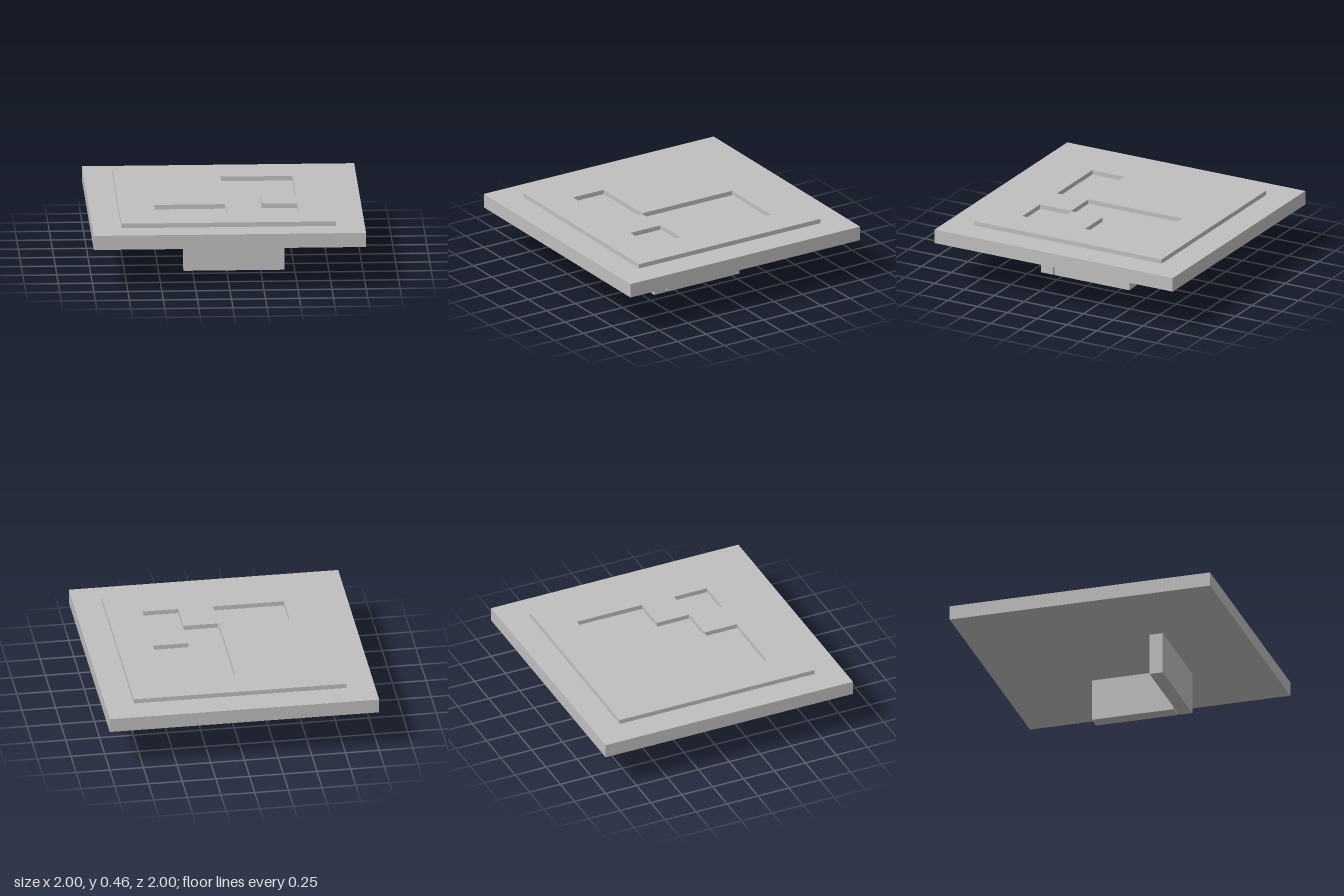
import * as THREE from 'three';

export function createModel() {
  const group = new THREE.Group();
  const grey = new THREE.MeshStandardMaterial({ color: 0xbfbfbf });
  grey.name = 'grey';

  // box given by its lower and upper corners
  const box = (name, [x0, y0, z0], [x1, y1, z1]) => {
    const mesh = new THREE.Mesh(new THREE.BoxGeometry(x1 - x0, y1 - y0, z1 - z0), grey);
    mesh.position.set((x0 + x1) / 2, (y0 + y1) / 2, (z0 + z1) / 2);
    mesh.name = name;
    group.add(mesh);
  };

  // square slab
  box('slab', [-1, 0.318, -1], [1, 0.425, 1]);

  // two walls below, meeting at a corner with a hairline gap
  box('frontWall', [-0.315, 0, 0.324], [0.425, 0.318, 0.425]);
  box('sideWall', [0.32, 0, -0.315], [0.425, 0.318, 0.314]);

  // raised plate with three recesses joined at their corners (points are x, z)
  const points = (list) => list.map(([x, z]) => new THREE.Vector2(x, -z));
  const w = 0.788, s = 0.526, a = 0.265, b = 0.26, e = 0.003;
  const outline = new THREE.Shape(points([[-w, w], [w, w], [w, -w], [-w, -w]]));
  outline.holes.push(new THREE.Path(points([
    [-e, -s], [s, -s], [s, 0], [a, 0], [a, b],
    [s, b], [s, s], [b, s], [b, a],
    [e, a], [e, s], [-s, s], [-s, b], [-e, b],
  ])));
  const plate = new THREE.Mesh(
    new THREE.ExtrudeGeometry(outline, { depth: 0.034, bevelEnabled: false }), grey);
  plate.rotation.x = -Math.PI / 2;
  plate.position.y = 0.425;
  plate.name = 'raisedPlate';
  group.add(plate);

  return group;
}
